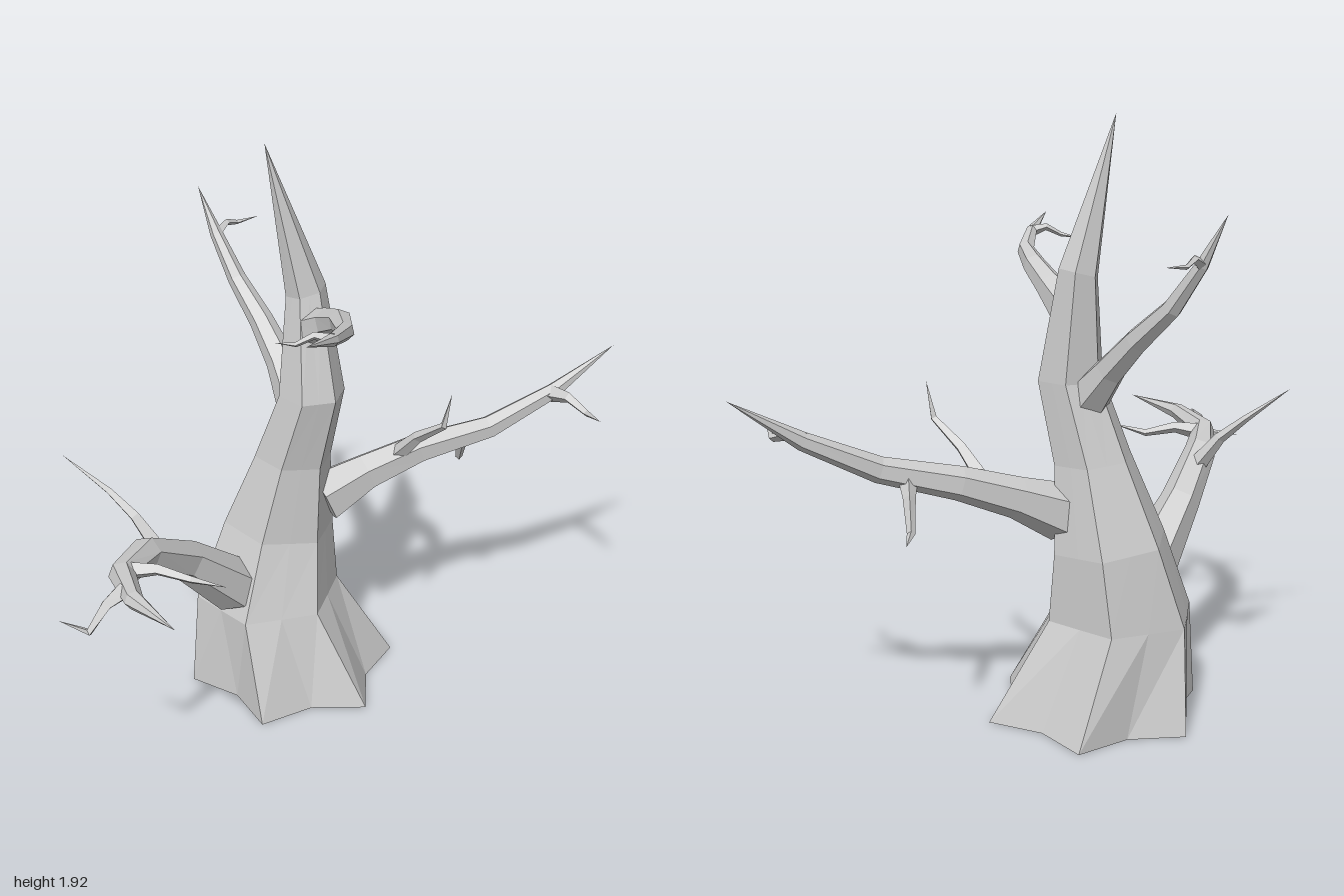
import * as THREE from 'three';

const V = (p) => new THREE.Vector3(...p);
const material = new THREE.MeshStandardMaterial({ color: 0xcccccc, flatShading: true, side: THREE.DoubleSide });

// Joins rings of points into a faceted skin; a one-point ring is a tip or cap centre.
function loft(name, rings) {
  const pos = [];
  const tri = (...pts) => pts.forEach((p) => pos.push(p.x, p.y, p.z));
  for (let i = 0; i < rings.length - 1; i++) {
    const a = rings[i], b = rings[i + 1], n = Math.max(a.length, b.length);
    for (let j = 0; j < n; j++) {
      const k = (j + 1) % n;
      if (a.length === 1) tri(a[0], b[k], b[j]);
      else if (b.length === 1) tri(a[j], a[k], b[0]);
      else { tri(a[j], a[k], b[k]); tri(a[j], b[k], b[j]); }
    }
  }
  const g = new THREE.BufferGeometry();
  g.setAttribute('position', new THREE.Float32BufferAttribute(pos, 3));
  g.computeVertexNormals();
  const mesh = new THREE.Mesh(g, material);
  mesh.name = name;
  return mesh;
}

// Tapered limb along centre points, thick at the root and closing to a sharp tip.
function limb(name, c, radius, sides) {
  const last = c.length - 1;
  const rings = [[c[0]]];
  let u = new THREE.Vector3(0, 1, 0);
  for (let i = 0; i < last; i++) {
    const t = c[i + 1].clone().sub(c[i]).normalize();
    if (i > 0) t.add(c[i].clone().sub(c[i - 1]).normalize()).normalize();
    u = u.clone().addScaledVector(t, -u.dot(t)).normalize();
    const v = t.clone().cross(u);
    const r = radius * (i === 0 ? 1.2 : 1 - 0.8 * i / last);
    rings.push(Array.from({ length: sides }, (_, j) => {
      const a = (j / sides) * Math.PI * 2;
      return c[i].clone().addScaledVector(u, Math.cos(a) * r).addScaledVector(v, Math.sin(a) * r);
    }));
  }
  rings.push([c[last]]);
  return loft(name, rings, material);
}

// Twig growing from a point on the branch, bending slightly, then turning at the elbow.
function twig(start, elbow, tip, radius) {
  const joint = start.clone().lerp(elbow, 0.5);
  joint.y += 0.02;
  return limb('twig', [start, joint, elbow, tip], radius, 4);
}

// Six-sided trunk, star-shaped at the foot. Levels: x, y, z, radius, ring tilt.
function trunk() {
  const levels = [
    [-0.165, 0, -0.185, 0.365, 0],
    [-0.245, 0.33, -0.21, 0.25, 0],
    [-0.195, 0.58, -0.23, 0.19, -0.12],
    [-0.15, 0.85, -0.19, 0.13, -0.1],
    [-0.095, 1.1, -0.135, 0.11, 0],
    [-0.1, 1.44, -0.18, 0.065, 0.25],
  ];
  const rings = levels.map(([x, y, z, r, tilt], i) => Array.from({ length: 12 }, (_, j) => {
    const a = (j / 12) * Math.PI * 2;
    const q = j % 2 ? r * (i === 0 ? 0.74 : 0.87) : r;
    const dx = Math.cos(a) * q;
    return new THREE.Vector3(x + dx, y + dx * tilt, z - Math.sin(a) * q);
  }));
  rings.push([new THREE.Vector3(-0.22, 1.92, -0.18)]);
  return loft('trunk', rings);
}

// Branch along a smooth curve; each twig is [place along the curve, elbow, tip].
function branch(name, radius, twigRadius, path, twigs) {
  const group = new THREE.Group();
  group.name = name;
  const curve = new THREE.CatmullRomCurve3(path.map(V));
  group.add(limb('limb', curve.getPoints(5), radius, 6));
  for (const [t, elbow, tip] of twigs) group.add(twig(curve.getPoint(t), V(elbow), V(tip), twigRadius));
  return group;
}

export function createModel() {
  const tree = new THREE.Group();
  tree.name = 'bareTree';
  tree.add(
    trunk(),
    branch('leftBranch', 0.08, 0.027,
      [[-0.05, 0.68, -0.18], [0.22, 0.79, -0.2], [0.62, 0.9, -0.17], [0.99, 1.12, -0.19]],
      [
        [0.31, [0.32, 0.98, -0.015], [0.34, 1.1, 0]],
        [0.53, [0.48, 0.7, -0.3], [0.52, 0.69, -0.39]],
        [0.79, [0.83, 0.96, -0.02], [0.83, 0.98, 0.09]],
      ]),
    branch('rightFrontBranch', 0.08, 0.027,
      [[-0.38, 0.42, -0.11], [-0.66, 0.72, 0.09], [-0.8, 0.79, 0.35], [-0.69, 0.835, 0.7]],
      [
        [0.31, [-0.78, 0.89, -0.03], [-0.91, 1, -0.1]],
        [0.57, [-0.59, 0.77, 0.36], [-0.5, 0.79, 0.46]],
        [0.73, [-0.91, 0.72, 0.48], [-0.99, 0.72, 0.4]],
      ]),
    branch('upperFrontBranch', 0.055, 0.016,
      [[-0.09, 1.32, -0.14], [-0.055, 1.42, 0.04], [-0.1, 1.48, 0.29], [-0.27, 1.565, 0.54]],
      [[0.8, [-0.26, 1.5, 0.37], [-0.31, 1.49, 0.32]]]),
    branch('upperBackBranch', 0.06, 0.016,
      [[-0.13, 1.05, -0.2], [-0.185, 1.22, -0.36], [-0.275, 1.41, -0.55], [-0.35, 1.65, -0.67]],
      [[0.8, [-0.22, 1.51, -0.68], [-0.14, 1.515, -0.71]]]),
  );
  return tree;
}
